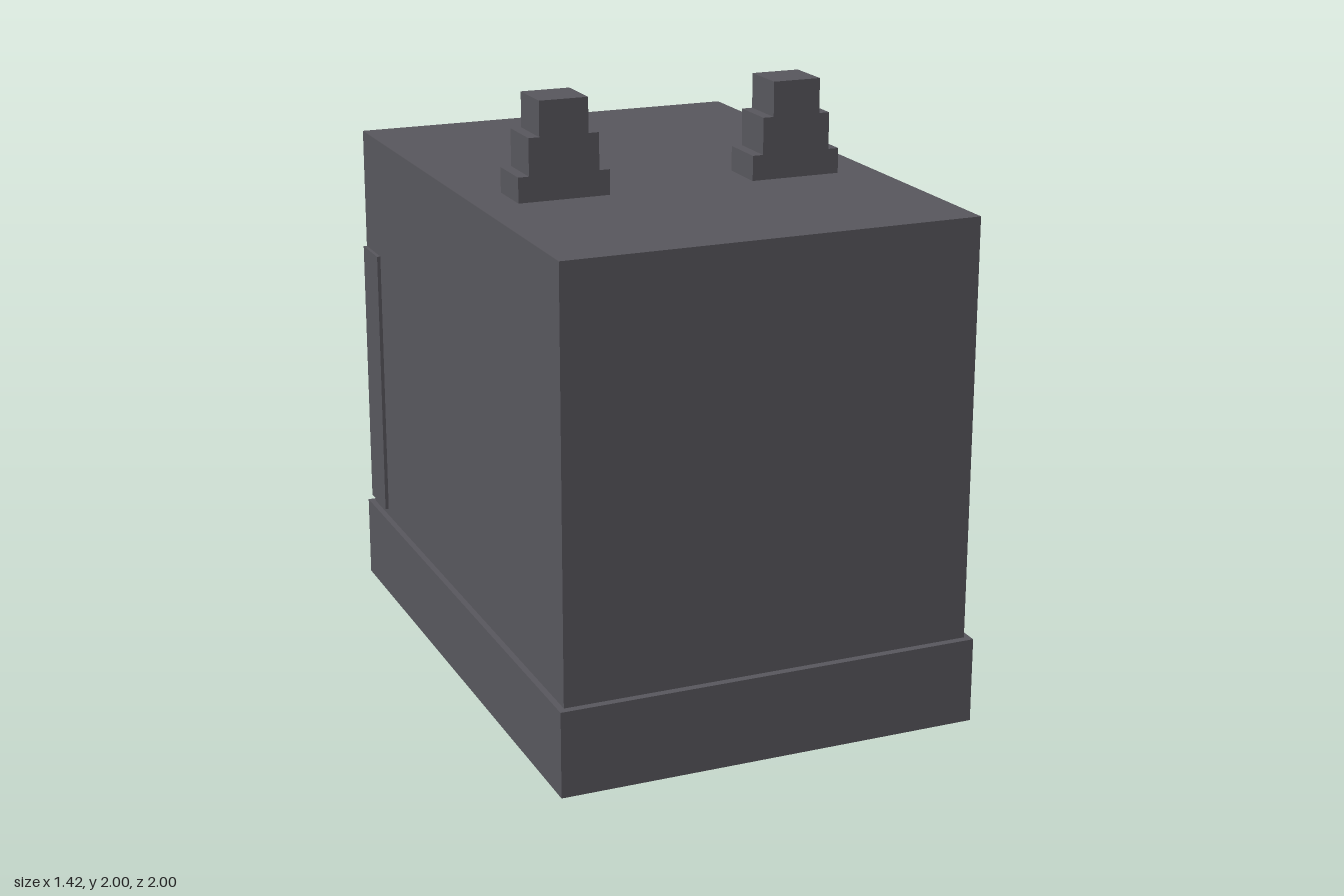
import * as THREE from 'three';

export function createModel() {
  const model = new THREE.Group();
  model.name = 'petHouse';

  const grey = new THREE.MeshStandardMaterial({ color: 0x57565c });
  grey.name = 'dark grey';
  const pink = new THREE.MeshStandardMaterial({ color: 0xcc9aa6 });
  pink.name = 'soft pink';

  // Box given by its limits on each axis
  function block(name, [x0, x1], [y0, y1], [z0, z1], material = grey, parent = model) {
    const mesh = new THREE.Mesh(new THREE.BoxGeometry(x1 - x0, y1 - y0, z1 - z0), material);
    mesh.position.set((x0 + x1) / 2, (y0 + y1) / 2, (z0 + z1) / 2);
    mesh.name = name;
    parent.add(mesh);
    return mesh;
  }
  // Limits mirrored to the chosen side
  const mirror = (side, a, b) => (side > 0 ? [a, b] : [-b, -a]);

  const W = 0.69, D = 0.975, IN = 0.52, INZ = 0.81;
  const FLOOR = 0.285, CEILING = 1.51, TOP = 1.68;

  // Plinth, roof slab and closed wall
  block('base', [-0.71, 0.71], [0, FLOOR], [-1, 1]);
  block('roof', [-W, W], [CEILING, TOP], [-D, D]);
  block('closedWall', [-IN, IN], [FLOOR, CEILING], [INZ, D]);

  // Doorway: threshold and lintel between the side walls
  block('threshold', [-IN, IN], [FLOOR, 0.31], [-D, -INZ]);
  block('lintel', [-IN, IN], [1.35, CEILING], [-D, -INZ]);

  for (const side of [1, -1]) {
    const label = side > 0 ? 'left' : 'right';
    block(label + 'Wall', mirror(side, IN, W), [FLOOR, CEILING], [-D, D]);
    // Door post, showing slightly on both faces of the wall
    block(label + 'DoorPost', mirror(side, 0.488, 0.702), [0.31, 1.26], [-D, -INZ]);

    // Stepped ear with a pink inner plate
    const ear = new THREE.Group();
    ear.name = label + 'Ear';
    ear.position.x = side * 0.403;
    model.add(ear);
    const steps = [[0.154, TOP, 1.763], [0.118, 1.763, 1.885], [0.082, 1.885, 2]];
    steps.forEach(([h, y0, y1], i) =>
      block('earStep' + (i + 1), [-h, h], [y0, y1], [0.108, 0.272], grey, ear));
    block('innerEar', [-0.058, 0.058], [TOP, 1.845], [0.075, 0.108], pink, ear);
  }

  return model;
}
